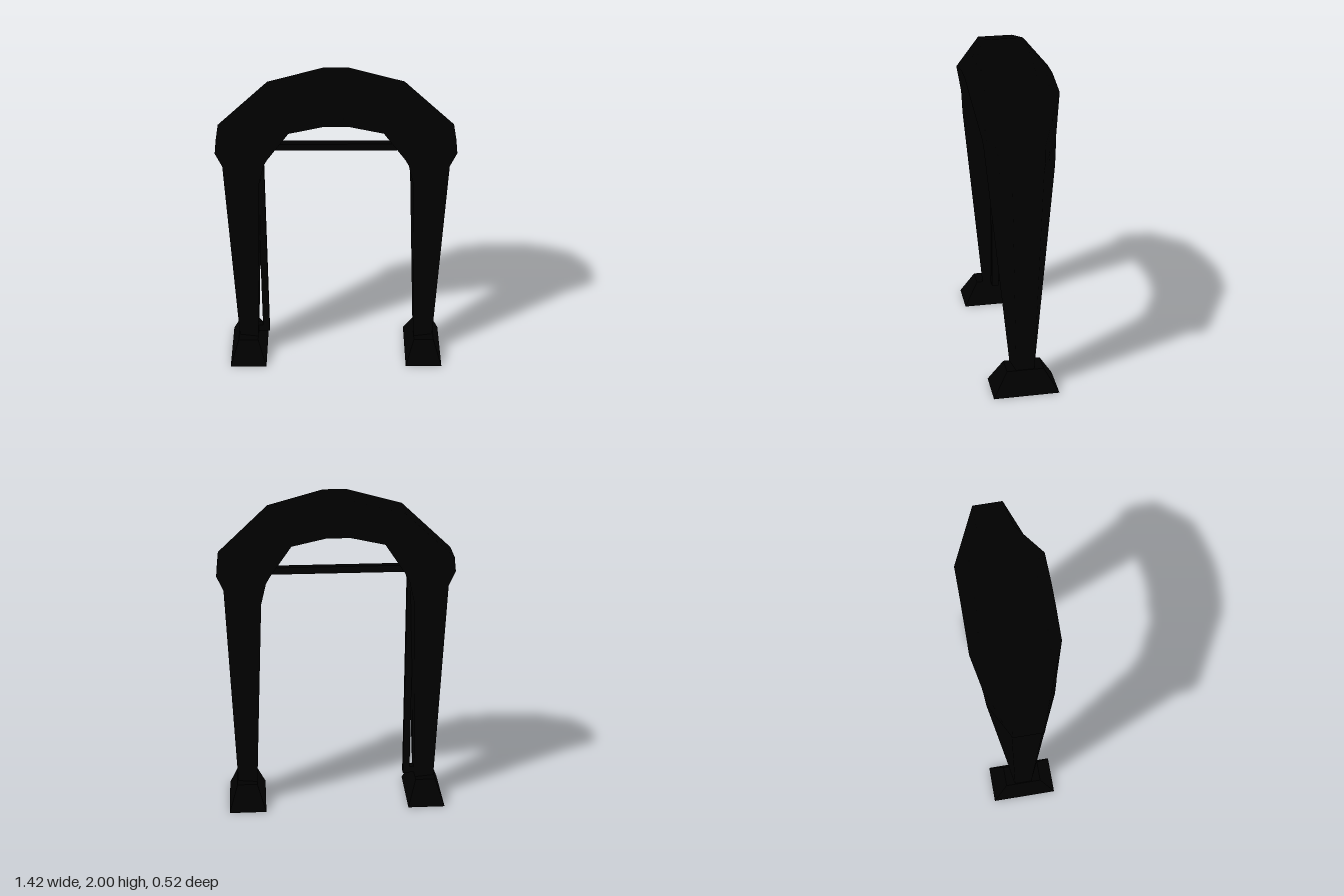
import * as THREE from 'three';

const black = new THREE.MeshStandardMaterial({ color: 0x000000 });

function addMesh(group, name, geometry, x = 0, y = 0, z = 0) {
  const mesh = new THREE.Mesh(geometry, black);
  mesh.name = name;
  mesh.position.set(x, y, z);
  group.add(mesh);
  return mesh;
}

// Half of the arch, from leg bottom to crown:
// [outer x, outer y, outer half depth, inner x, inner y, inner half depth]
const half = [
  [0.62, 0.15, 0.055, 0.5, 0.15, 0.075],
  [0.67, 1.45, 0.09, 0.45, 1.4, 0.2],
  [0.71, 1.54, 0.09, 0.42, 1.53, 0.21],
  [0.7, 1.63, 0.09, 0.4, 1.57, 0.215],
  [0.4, 1.91, 0.105, 0.27, 1.775, 0.26],
  [0.07, 2, 0.11, 0.07, 1.82, 0.26],
];

// Trapezoid sections swept up one leg, over the crown and down the other
function archGeometry() {
  const mirrored = half.map(([ox, oy, oz, ix, iy, iz]) => [-ox, oy, oz, -ix, iy, iz]).reverse();
  const sections = [...half, ...mirrored];
  const positions = [];
  const index = [];
  for (const [ox, oy, oz, ix, iy, iz] of sections) {
    positions.push(ox, oy, oz, ox, oy, -oz, ix, iy, -iz, ix, iy, iz);
  }
  for (let i = 0; i < sections.length - 1; i++) {
    for (let j = 0; j < 4; j++) {
      const a = i * 4 + j;
      const b = i * 4 + ((j + 1) % 4);
      index.push(a, b, b + 4, a, b + 4, a + 4);
    }
  }
  const e = (sections.length - 1) * 4;
  index.push(0, 3, 2, 0, 2, 1, e, e + 1, e + 2, e, e + 2, e + 3);
  const geometry = new THREE.BufferGeometry();
  geometry.setAttribute('position', new THREE.Float32BufferAttribute(positions, 3));
  geometry.setIndex(index);
  geometry.computeVertexNormals();
  return geometry;
}

// Box narrowed towards its top
function footGeometry() {
  const geometry = new THREE.BoxGeometry(0.23, 0.15, 0.4);
  const p = geometry.attributes.position;
  for (let i = 0; i < p.count; i++) {
    if (p.getY(i) > 0) {
      p.setX(i, p.getX(i) * 0.54);
      p.setZ(i, p.getZ(i) * 0.56);
    }
  }
  geometry.computeVertexNormals();
  return geometry;
}

export function createModel() {
  const model = new THREE.Group();
  model.name = 'archFrame';

  addMesh(model, 'arch', archGeometry());

  for (const side of [-1, 1]) {
    addMesh(model, side > 0 ? 'leftFoot' : 'rightFoot', footGeometry(), side * 0.563, 0.075, 0);
  }

  // Thin rod across the opening, down one leg and into its base
  const t = 0.042;
  addMesh(model, 'crossRod', new THREE.BoxGeometry(0.93, t, t), 0, 1.54, 0);
  addMesh(model, 'uprightRod', new THREE.BoxGeometry(t, 1.41, t), -0.45, 0.855, 0);
  addMesh(model, 'rodFoot', new THREE.BoxGeometry(0.1, t, t), -0.48, 0.175, 0);

  return model;
}
